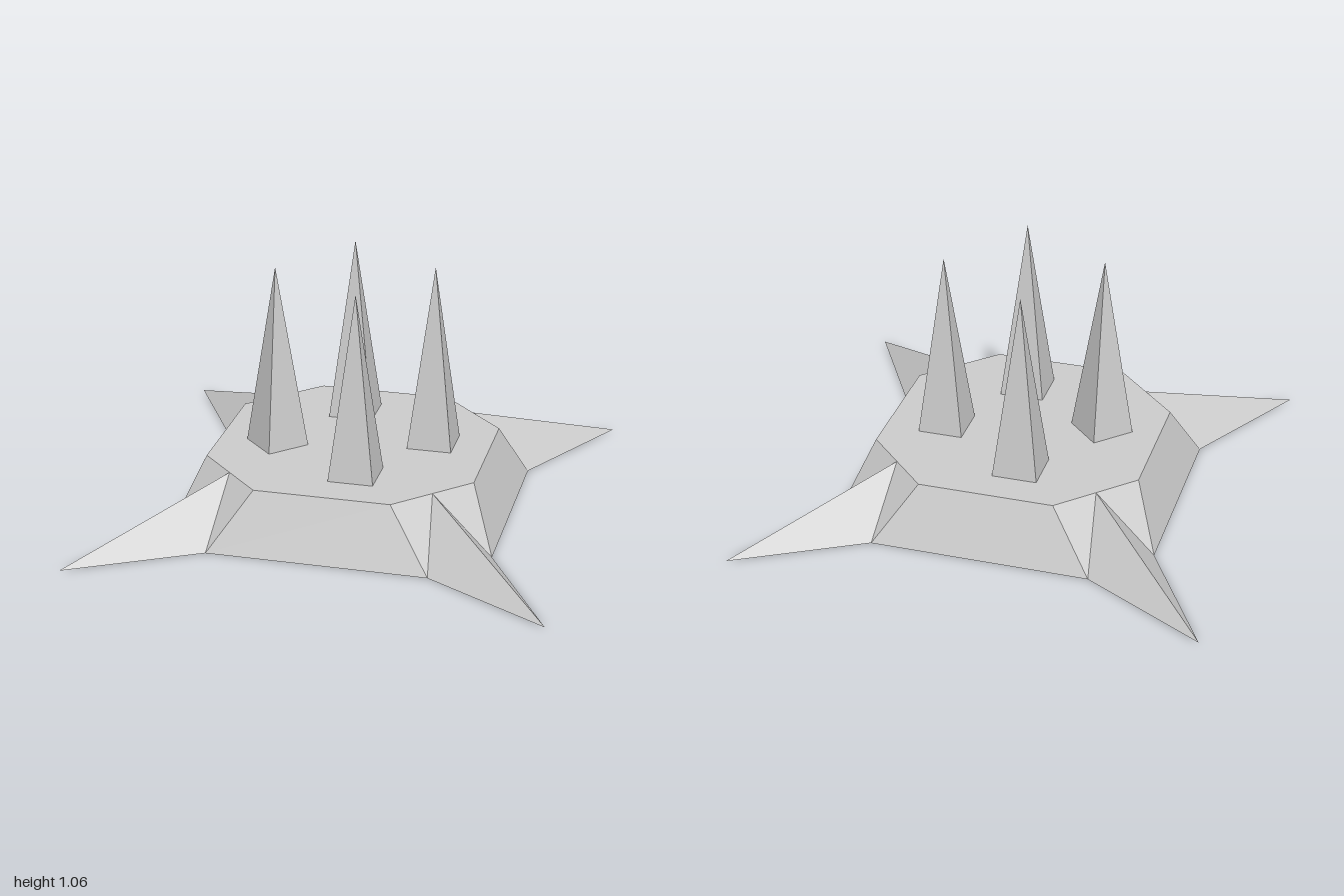
import * as THREE from 'three';

const material = new THREE.MeshStandardMaterial({
  color: 0xcccccc, flatShading: true, side: THREE.DoubleSide,
});

const H = 0.26; // height of the deck

// Flat faces, each a convex loop of corners seen counter-clockwise from outside
function facesMesh(name, faces) {
  const points = [];
  for (const f of faces) {
    for (let i = 1; i < f.length - 1; i++) points.push(...f[0], ...f[i], ...f[i + 1]);
  }
  const geometry = new THREE.BufferGeometry();
  geometry.setAttribute('position', new THREE.Float32BufferAttribute(points, 3));
  geometry.computeVertexNormals();
  const mesh = new THREE.Mesh(geometry, material);
  mesh.name = name;
  return mesh;
}

// Key corners of one quadrant, mirrored by the signs sx and sz
function corners(sx, sz) {
  const at = (x, y, z) => [sx * x, y, sz * z];
  return {
    topFront: at(0.29, H, 0.58),
    topMid: at(0.435, H, 0.435),
    topSide: at(0.58, H, 0.29),
    baseFront: at(0.47, 0, 0.685),
    baseSide: at(0.69, 0, 0.44),
    tip: at(1, 0.003, 0.985),
  };
}

export function createModel() {
  const model = new THREE.Group();
  model.name = 'spikeTrap';

  const fl = corners(1, 1), fr = corners(-1, 1);
  const bl = corners(1, -1), br = corners(-1, -1);

  // Octagonal deck
  model.add(facesMesh('deck', [[
    fr.topFront, fl.topFront, fl.topSide, bl.topSide,
    bl.topFront, br.topFront, br.topSide, fr.topSide,
  ]]));

  // Four sloping walls, open underneath
  model.add(facesMesh('walls', [
    [fr.baseFront, fl.baseFront, fl.topFront, fr.topFront],
    [bl.baseFront, br.baseFront, br.topFront, bl.topFront],
    [fl.baseSide, bl.baseSide, bl.topSide, fl.topSide],
    [br.baseSide, fr.baseSide, fr.topSide, br.topSide],
  ]));

  // Ridged points reaching out along the ground at each corner
  for (const sx of [1, -1]) {
    for (const sz of [1, -1]) {
      const c = corners(sx, sz);
      const faces = [
        [c.topFront, c.baseFront, c.topMid],
        [c.baseFront, c.tip, c.topMid],
        [c.topMid, c.tip, c.baseSide],
        [c.topMid, c.baseSide, c.topSide],
      ];
      if (sx * sz < 0) faces.forEach((f) => f.reverse());
      model.add(facesMesh('cornerPoint', faces));
    }
  }

  // Tall four-sided spikes, sunk a little through the deck; one is turned
  const bottom = 0.21, top = 1.06;
  const spikeGeometry = new THREE.ConeGeometry(0.145, top - bottom, 4, 1, true);
  const spikes = [
    [-0.08, -0.335, Math.PI / 4],
    [0.33, -0.077, Math.PI / 4],
    [0.083, 0.328, Math.PI / 4],
    [-0.325, 0.08, 0],
  ];
  for (const [x, z, turn] of spikes) {
    const spike = new THREE.Mesh(spikeGeometry, material);
    spike.name = 'spike';
    spike.position.set(x, (bottom + top) / 2, z);
    spike.rotation.y = turn;
    model.add(spike);
  }

  return model;
}
